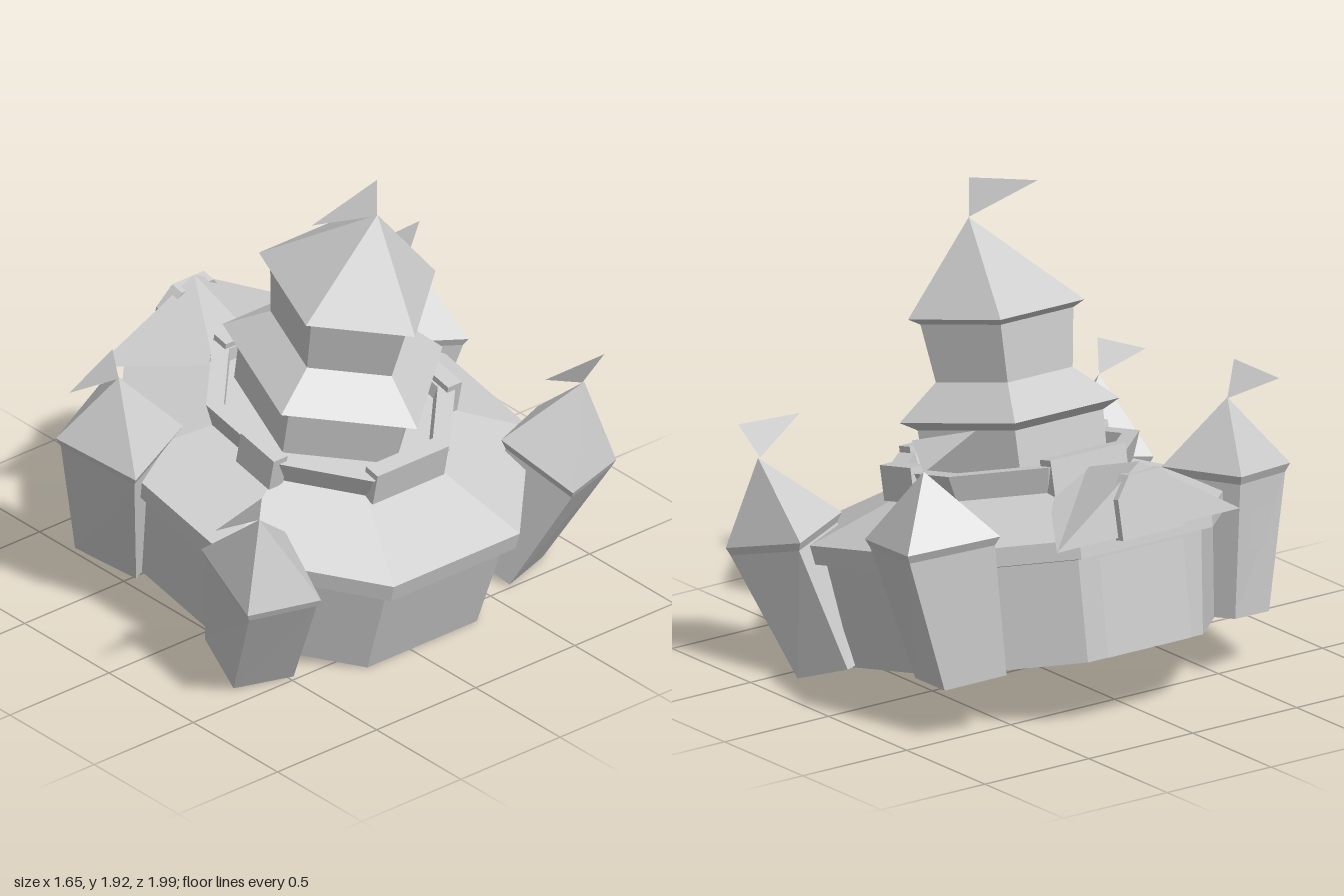
import * as THREE from 'three';

const MID_Z = -0.06;
const material = new THREE.MeshStandardMaterial({ color: 0xcccccc, flatShading: true, side: THREE.DoubleSide });

// Flat-faced mesh from convex polygons given as lists of [x, y, z]
function facesMesh(name, polygons) {
  const pos = [];
  for (const p of polygons)
    for (let i = 1; i < p.length - 1; i++) pos.push(...p[0], ...p[i], ...p[i + 1]);
  const geometry = new THREE.BufferGeometry();
  geometry.setAttribute('position', new THREE.Float32BufferAttribute(pos, 3));
  geometry.computeVertexNormals();
  const mesh = new THREE.Mesh(geometry, material);
  mesh.name = name;
  return mesh;
}

// Skin through rings of points, anticlockwise seen from above, with closed ends
function loft(name, rings) {
  const polygons = [[...rings[0]].reverse(), rings[rings.length - 1]];
  for (let r = 0; r < rings.length - 1; r++) {
    const a = rings[r], b = rings[r + 1], n = a.length;
    for (let i = 0; i < n; i++) {
      const j = (i + 1) % n;
      polygons.push([a[i], a[j], b[j], b[i]]);
    }
  }
  return facesMesh(name, polygons);
}

// Regular ring, squeezed in z
function ring(sides, radius, y, squeeze, start = 0) {
  return Array.from({ length: sides }, (_, i) => {
    const t = start + (i / sides) * Math.PI * 2;
    return [radius * Math.cos(t), y, -radius * squeeze * Math.sin(t)];
  });
}
const octagon = (apothem, y) => ring(8, apothem / Math.cos(Math.PI / 8), y, 0.94, Math.PI / 8);

function box(name, w, h, d, x, y, z) {
  const mesh = new THREE.Mesh(new THREE.BoxGeometry(w, h, d), material);
  mesh.name = name;
  mesh.position.set(x, y, z);
  return mesh;
}

const lerp = (a, b, t) => a.map((v, i) => v + (b[i] - v) * t);

// Flared square tower with an overhanging pointed roof
function tower(name, foot, eave, apex, mirrored, hasWindow) {
  const place = (ps) => {
    const out = ps.map(([x, y, z]) => [x, y, mirrored ? 2 * MID_Z - z : z]);
    return mirrored ? out.reverse() : out;
  };
  const f = place(foot), e = place(eave), [tip] = place([apex]);
  const centre = lerp(lerp(e[0], e[2], 0.5), lerp(e[1], e[3], 0.5), 0.5);
  const wallTop = e.map((p) => {
    const q = lerp(p, centre, 0.08);
    return [q[0], q[1] - 0.035, q[2]];
  });
  const group = new THREE.Group();
  group.name = name;
  group.add(loft('towerWall', [f, wallTop]));
  group.add(loft('towerRoof', [wallTop, e, e.map(() => tip)]));
  if (hasWindow) {
    // Small panel on the outward side face, between the first two corners
    const [i, j] = mirrored ? [3, 2] : [0, 1];
    const at = (s, t) => {
      const p = lerp(lerp(f[i], f[j], s), lerp(wallTop[i], wallTop[j], s), t);
      return [p[0] - 0.012, p[1], p[2] + (mirrored ? -0.005 : 0.005)];
    };
    group.add(facesMesh('towerWindow', [[at(0.22, 0.5), at(0.62, 0.5), at(0.62, 0.78), at(0.22, 0.78)]]));
  }
  return group;
}

export function createModel() {
  const model = new THREE.Group();
  model.name = 'castle';

  // Main building, leaning to one side
  const lean = new THREE.Group();
  lean.name = 'leaningBuilding';
  lean.rotation.z = -THREE.MathUtils.degToRad(12);
  model.add(lean);
  const main = new THREE.Group();
  main.name = 'mainBuilding';
  main.position.set(-0.11, 0, MID_Z);
  lean.add(main);

  // Octagonal outer wall, rim and sloping roof
  main.add(loft('outerWall', [octagon(0.71, 0.12), octagon(0.76, 0.53)]));
  main.add(loft('wallRimAndRoof', [octagon(0.76, 0.53), octagon(0.81, 0.54), octagon(0.815, 0.615), octagon(0.44, 0.755)]));

  // Parapet around the keep, with raised blocks on four sides
  main.add(loft('parapet', [octagon(0.44, 0.72), octagon(0.49, 0.855), octagon(0.42, 0.855), octagon(0.41, 0.8)]));
  for (const s of [-1, 1]) {
    main.add(box('parapetBlock', 0.07, 0.14, 0.36, s * 0.46, 0.81, 0));
    main.add(box('parapetBlock', 0.2, 0.14, 0.07, 0.12, 0.81, s * 0.44));
  }

  // Five-sided keep: two storeys, each with an overhanging roof
  const storey = (radius, y) => ring(5, radius, y, 0.88);
  main.add(loft('lowerKeepWall', [storey(0.4, 0.76), storey(0.41, 0.995)]));
  main.add(loft('lowerKeepRoof', [storey(0.41, 0.995), storey(0.486, 1.035), storey(0.302, 1.168)]));
  main.add(loft('upperKeepWall', [storey(0.302, 1.165), storey(0.338, 1.4)]));
  main.add(loft('upperKeepRoof', [storey(0.338, 1.4), storey(0.39, 1.427),
    storey(0.39, 1.427).map(() => [0.045, 1.776, -0.035])]));

  // Gable roof above the gate
  const peak = [-0.83, 0.863, 0], ridgeEnd = [-0.48, 0.82, 0];
  const sides = [-1, 1].map((s) => ({ eave: [-0.83, 0.59, s * 0.44], back: [-0.46, 0.74, s * 0.185] }));
  main.add(facesMesh('gateGable', [
    [sides[0].eave, sides[1].eave, peak],
    [sides[0].eave, peak, ridgeEnd, sides[0].back],
    [peak, sides[1].eave, sides[1].back, ridgeEnd],
  ]));

  // Shouldered gate block and the thin door below
  const outline = [[-0.145, 0.58], [0.145, 0.58], [0.145, 0.74], [0.08, 0.826], [-0.08, 0.826], [-0.145, 0.74]];
  const block = new THREE.ExtrudeGeometry(new THREE.Shape(outline.map((p) => new THREE.Vector2(...p))),
    { depth: 0.06, bevelEnabled: false });
  block.rotateY(-Math.PI / 2);
  const gateBlock = new THREE.Mesh(block, material);
  gateBlock.name = 'gateBlock';
  gateBlock.position.x = -0.8;
  main.add(gateBlock);
  main.add(facesMesh('gateDoor', [[[-0.74, 0.125, -0.2], [-0.74, 0.125, 0.2], [-0.768, 0.52, 0.2], [-0.768, 0.52, -0.2]]]));

  // Corner towers, mirrored front to back; corners run outer side first
  const highFoot = [[-0.62, 0.25, 0.49], [-0.53, 0.21, 0.72], [-0.25, 0.17, 0.65], [-0.34, 0.21, 0.42]];
  const highEave = [[-0.62, 0.82, 0.52], [-0.48, 0.77, 0.86], [-0.1, 0.72, 0.78], [-0.23, 0.775, 0.43]];
  const lowFoot = [[0.17, 0.09, 0.66], [0.41, 0, 0.72], [0.49, 0, 0.485], [0.26, 0.09, 0.42]];
  const lowEave = [[0.3, 0.595, 0.79], [0.67, 0.49, 0.87], [0.76, 0.49, 0.575], [0.44, 0.62, 0.485]];
  for (const mirrored of [false, true]) {
    const end = mirrored ? 'back' : 'front';
    model.add(tower(end + 'HighTower', highFoot, highEave, [-0.33, 1.035, 0.67], mirrored, true));
    model.add(tower(end + 'LowTower', lowFoot, lowEave, [0.61, 0.85, 0.76], mirrored, false));
  }

  // Pennants: foot, top and tip
  const pennants = {
    keepPennant: [[0.31, 1.75, -0.09], [0.31, 1.91, -0.09], [0.31, 1.83, 0.24]],
    frontHighPennant: [[-0.33, 1.03, 0.67], [-0.32, 1.18, 0.71], [-0.33, 1.06, 0.92]],
    frontLowPennant: [[0.61, 0.85, 0.76], [0.66, 0.98, 0.79], [0.63, 0.9, 1]],
    backHighPennant: [[-0.33, 1.03, -0.79], [-0.32, 1.17, -0.84], [-0.33, 1.15, -0.54]],
    backLowPennant: [[0.61, 0.85, -0.87], [0.67, 0.98, -0.93], [0.66, 0.97, -0.64]],
  };
  for (const [name, points] of Object.entries(pennants)) model.add(facesMesh(name, [points]));

  return model;
}
